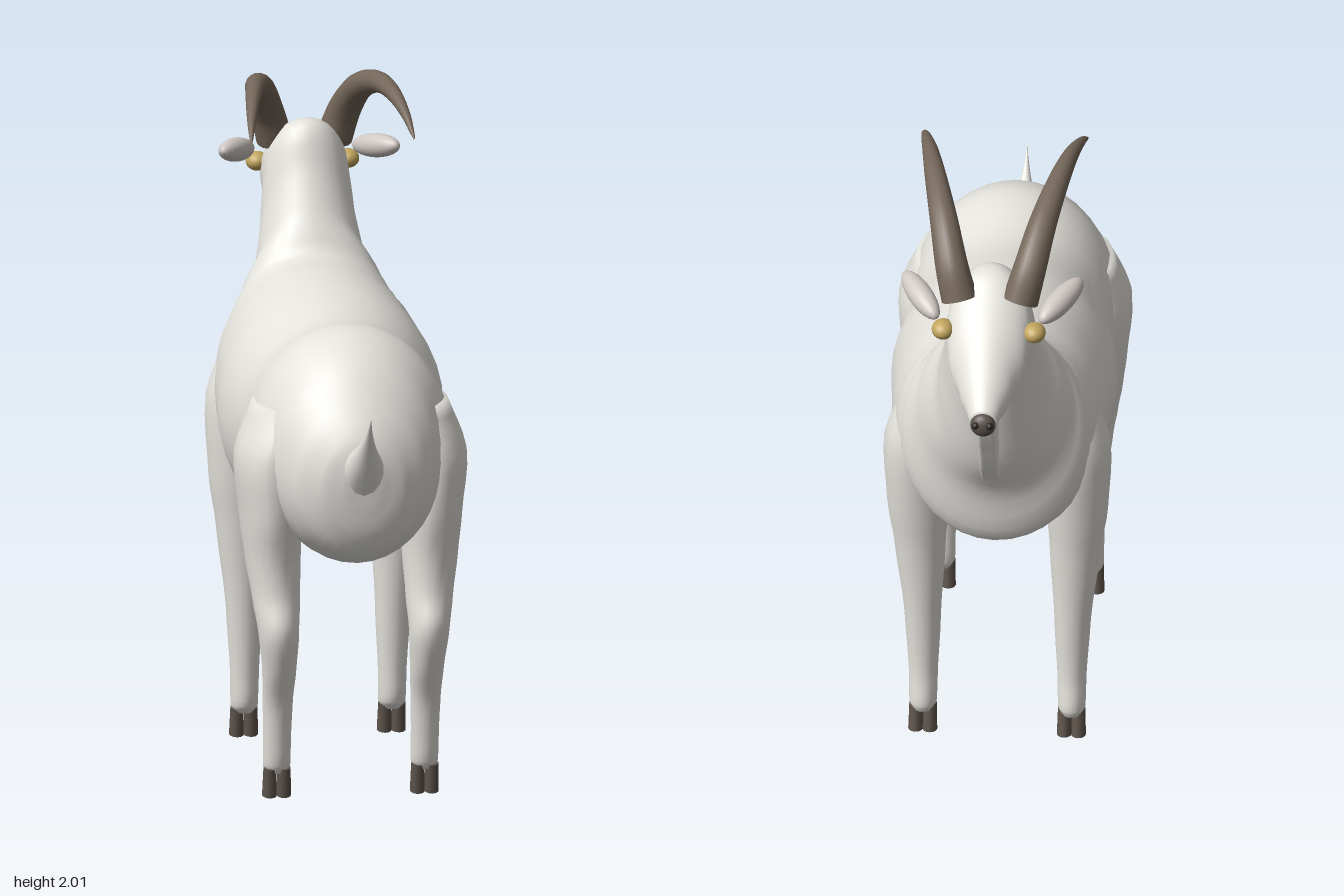
import * as THREE from 'three';

const mat = (color) => new THREE.MeshStandardMaterial({ color, roughness: 0.8 });
const V = (x, y, z) => new THREE.Vector3(x, y, z);

// Smooth skin through oval rings. Each ring: [z, y, z, y, centreX, halfWidth],
// the two z, y pairs being its opposite edges in the side plane.
function loft(rings, sides = 28, steps = 4) {
  const a = new THREE.CatmullRomCurve3(rings.map((r) => V(r[4], r[1], r[0])));
  const b = new THREE.CatmullRomCurve3(rings.map((r) => V(r[4], r[3], r[2])));
  const n = (rings.length - 1) * steps;
  const pos = [], index = [];
  for (let i = 0; i <= n; i++) {
    const p = a.getPoint(i / n), q = b.getPoint(i / n);
    const c = p.clone().add(q).multiplyScalar(0.5), d = p.sub(c);
    const k = Math.min(Math.floor(i / steps), rings.length - 2);
    const f = i / steps - k, s = f * f * (3 - 2 * f);
    const rx = THREE.MathUtils.lerp(rings[k][5], rings[k + 1][5], (f + s) / 2);
    for (let j = 0; j < sides; j++) {
      const t = (j / sides) * Math.PI * 2;
      pos.push(c.x + rx * Math.sin(t), c.y + d.y * Math.cos(t), c.z + d.z * Math.cos(t));
    }
  }
  for (let i = 0; i < n; i++) for (let j = 0; j < sides; j++) {
    const p = i * sides + j, q = i * sides + (j + 1) % sides;
    index.push(p, q, p + sides, q, q + sides, p + sides);
  }
  // end caps
  for (const [row, flip] of [[0, true], [n, false]]) {
    const o = row * sides, m = pos.length / 3, h = (o + sides / 2) * 3;
    pos.push((pos[o * 3] + pos[h]) / 2, (pos[o * 3 + 1] + pos[h + 1]) / 2, (pos[o * 3 + 2] + pos[h + 2]) / 2);
    for (let j = 0; j < sides; j++) {
      const p = o + j, q = o + (j + 1) % sides;
      if (flip) index.push(m, q, p); else index.push(m, p, q);
    }
  }
  // turn the faces outward if the signed volume is negative
  let volume = 0;
  const at = (i) => V(pos[i * 3], pos[i * 3 + 1], pos[i * 3 + 2]);
  for (let i = 0; i < index.length; i += 3) volume += at(index[i]).dot(at(index[i + 1]).cross(at(index[i + 2])));
  if (volume < 0) index.reverse();
  const g = new THREE.BufferGeometry();
  g.setAttribute('position', new THREE.Float32BufferAttribute(pos, 3));
  g.setIndex(index);
  g.computeVertexNormals();
  return g;
}

// Tube whose radius follows a rule along its length
function taperTube(points, radius, seg = 32, sides = 16) {
  const curve = new THREE.CatmullRomCurve3(points.map((p) => V(...p)));
  const g = new THREE.TubeGeometry(curve, seg, 1, sides);
  const p = g.attributes.position, v = V(0, 0, 0);
  for (let i = 0; i < p.count; i++) {
    const t = Math.floor(i / (sides + 1)) / seg, c = curve.getPointAt(t);
    v.fromBufferAttribute(p, i).sub(c).multiplyScalar(radius(t)).add(c);
    p.setXYZ(i, v.x, v.y, v.z);
  }
  g.computeVertexNormals();
  return g;
}

export function createModel() {
  const model = new THREE.Group();
  model.name = 'goat';
  const coat = mat(0xe4e2dc), horn = mat(0x75675a), hoof = mat(0x5e544c);
  const earMat = mat(0xcfc7c3), eyeMat = mat(0xc2a65e), pupilMat = mat(0x2a2520), noseMat = mat(0x5a504c);
  const add = (name, geometry, material, parent = model) => {
    const m = new THREE.Mesh(geometry, material);
    m.name = name;
    parent.add(m);
    return m;
  };

  // Rump, barrel, chest, neck and head in one skin
  add('body', loft([
    [0.775, 1.08, 0.765, 0.95, 0, 0.05],
    [0.75, 1.16, 0.745, 0.85, 0, 0.13],
    [0.69, 1.25, 0.70, 0.78, 0, 0.20],
    [0.60, 1.35, 0.60, 0.74, 0, 0.255],
    [0.45, 1.42, 0.45, 0.73, 0, 0.30],
    [0.23, 1.39, 0.23, 0.72, 0, 0.30],
    [0, 1.43, 0, 0.69, 0, 0.335],
    [-0.20, 1.445, -0.20, 0.71, 0, 0.32],
    [-0.31, 1.45, -0.38, 0.74, 0, 0.30],
    [-0.335, 1.47, -0.465, 0.79, 0, 0.275],
    [-0.36, 1.51, -0.51, 0.98, 0, 0.225],
    [-0.40, 1.58, -0.59, 1.12, 0, 0.165],
    [-0.455, 1.69, -0.64, 1.31, 0, 0.14],
    [-0.505, 1.80, -0.675, 1.44, 0, 0.128],
    [-0.57, 1.81, -0.72, 1.47, 0, 0.128],
    [-0.66, 1.745, -0.765, 1.455, 0, 0.115],
    [-0.77, 1.64, -0.81, 1.44, 0, 0.08],
    [-0.86, 1.55, -0.855, 1.445, 0, 0.05],
    [-0.895, 1.52, -0.885, 1.45, 0, 0.038],
  ], 36, 4), coat);

  // Thin throat beard with a small gap
  const s = new THREE.Shape();
  s.moveTo(0.79, 1.45);
  s.splineThru([[0.765, 1.37], [0.72, 1.28], [0.665, 1.18], [0.60, 1.10]].map((p) => new THREE.Vector2(...p)));
  s.lineTo(0.55, 1.13);
  s.lineTo(0.60, 1.32);
  s.lineTo(0.64, 1.48);
  const gap = new THREE.Path();
  gap.absarc(0.69, 1.385, 0.026, 0, Math.PI * 2, true);
  s.holes.push(gap);
  const beard = new THREE.ExtrudeGeometry(s, {
    depth: 0.03, bevelThickness: 0.012, bevelSize: 0.01, bevelSegments: 3, curveSegments: 10,
  });
  beard.translate(0, 0, -0.015).rotateY(Math.PI / 2);
  add('beard', beard, coat);

  // Muzzle tip and nostrils
  const nose = add('nose', new THREE.SphereGeometry(0.036, 20, 14), noseMat);
  nose.position.set(0, 1.483, -0.895);
  nose.scale.set(1.05, 1.05, 0.75);

  add('tail', taperTube([[0, 1.03, 0.70], [0, 1.09, 0.78], [0, 1.16, 0.85], [0, 1.255, 0.93]],
    (t) => 0.012 * (1 - t) + 0.075 * (1 - t) ** 1.6 + 0.001), coat);

  for (const side of [1, -1]) {
    const label = side > 0 ? 'right' : 'left';
    const X = (rings) => rings.map((r) => [r[0], r[1], r[2], r[3], r[4] * side, r[5]]);

    const nostril = add(label + 'Nostril', new THREE.SphereGeometry(0.011, 10, 8), pupilMat);
    nostril.position.set(0.021 * side, 1.492, -0.916);

    const eye = add(label + 'Eye', new THREE.SphereGeometry(0.036, 20, 14), eyeMat);
    eye.position.set(0.135 * side, 1.66, -0.66);
    eye.scale.set(0.95, 0.8, 1.05);

    // Flat leaf-shaped ear, swept out and back
    const ear = add(label + 'Ear', new THREE.SphereGeometry(1, 24, 16), earMat);
    ear.scale.set(0.036, 0.036, 0.107);
    ear.position.set(0.208 * side, 1.718, -0.572);
    ear.rotation.set(-0.2, 0.53 * side, 0.45 * side);

    // Long horn curving up and back
    add(label + 'Horn', taperTube([
      [0.09, 1.74, -0.615], [0.115, 1.83, -0.58], [0.145, 1.92, -0.48], [0.182, 1.973, -0.32],
      [0.208, 1.972, -0.18], [0.23, 1.935, -0.05], [0.243, 1.885, 0.045],
    ].map(([x, y, z]) => [x * side, y, z]), (t) => 0.052 * (1 - t) ** 0.75 + 0.002, 40), horn);

    add(label + 'FrontLeg', loft(X([
      [-0.21, 1.20, -0.39, 1.20, 0.19, 0.09],
      [-0.19, 1.04, -0.41, 1.04, 0.235, 0.10],
      [-0.20, 0.80, -0.385, 0.80, 0.235, 0.092],
      [-0.215, 0.65, -0.365, 0.65, 0.23, 0.076],
      [-0.235, 0.40, -0.345, 0.40, 0.222, 0.054],
      [-0.247, 0.20, -0.338, 0.20, 0.22, 0.043],
      [-0.255, 0.10, -0.348, 0.10, 0.22, 0.041],
      [-0.275, 0.075, -0.338, 0.075, 0.22, 0.03],
    ]), 20), coat);

    add(label + 'HindLeg', loft(X([
      [0.58, 1.20, 0.28, 1.20, 0.19, 0.10],
      [0.62, 1.05, 0.27, 1.05, 0.24, 0.105],
      [0.615, 0.88, 0.28, 0.84, 0.238, 0.093],
      [0.585, 0.74, 0.345, 0.73, 0.234, 0.083],
      [0.585, 0.63, 0.415, 0.60, 0.228, 0.071],
      [0.612, 0.53, 0.448, 0.50, 0.224, 0.06],
      [0.575, 0.41, 0.443, 0.40, 0.22, 0.051],
      [0.522, 0.30, 0.432, 0.30, 0.22, 0.045],
      [0.502, 0.20, 0.42, 0.20, 0.22, 0.042],
      [0.487, 0.10, 0.41, 0.10, 0.22, 0.041],
      [0.475, 0.075, 0.42, 0.075, 0.22, 0.03],
    ]), 20), coat);

    // Cloven hooves: two toes each
    for (const [part, z] of [['FrontHoof', -0.31], ['HindHoof', 0.452]]) {
      const group = new THREE.Group();
      group.name = label + part;
      group.position.set(0.22 * side, 0, z);
      model.add(group);
      for (const t of [-1, 1]) {
        const toe = add('toe', new THREE.CylinderGeometry(0.023, 0.026, 0.088, 12), hoof, group);
        toe.position.set(0.021 * t, 0.048, 0);
        toe.rotation.x = 0.15;
        toe.scale.set(0.85, 1, 1.1);
      }
    }
  }
  return model;
}
